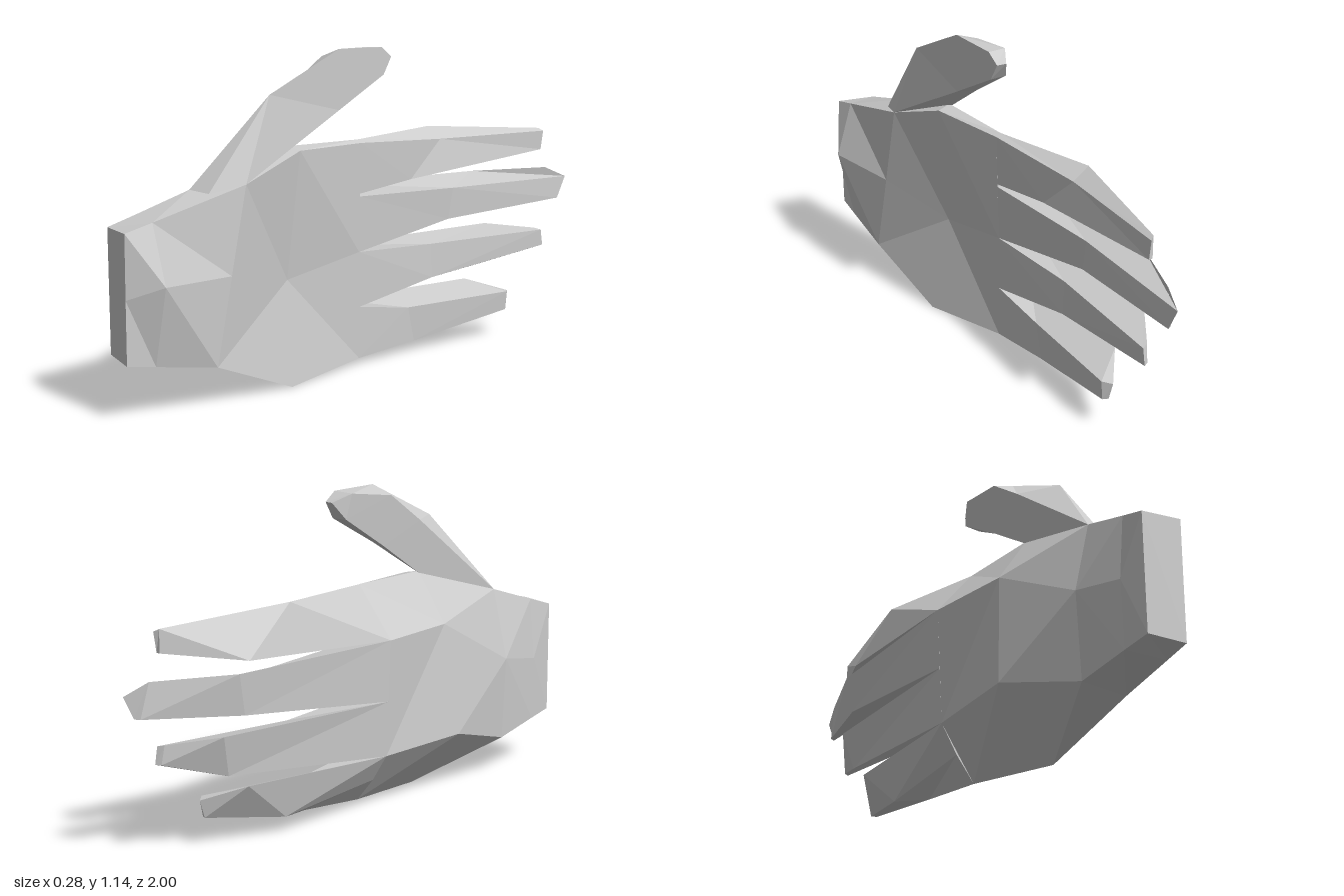
import * as THREE from 'three';

const material = new THREE.MeshStandardMaterial({ color: 0xcccccc, flatShading: true });

// Skins a list of rings (points counter-clockwise seen from the first ring's open end),
// splitting each quad along its shorter diagonal, and caps both ends.
function loft(name, rings) {
  const n = rings[0].length;
  const last = (rings.length - 1) * n;
  const points = rings.flat().map((p) => new THREE.Vector3(...p));
  const index = [];
  for (let r = 0; r < rings.length - 1; r++) {
    for (let j = 0; j < n; j++) {
      const a = r * n + j, b = r * n + (j + 1) % n, c = b + n, d = a + n;
      if (points[a].distanceTo(points[c]) < points[b].distanceTo(points[d])) index.push(a, d, c, a, c, b);
      else index.push(a, d, b, b, d, c);
    }
  }
  for (let j = 1; j < n - 1; j++) {
    index.push(0, j, j + 1, last, last + j + 1, last + j);
  }
  const indexed = new THREE.BufferGeometry().setFromPoints(points);
  indexed.setIndex(index);
  const geometry = indexed.toNonIndexed();
  geometry.computeVertexNormals();
  const mesh = new THREE.Mesh(geometry, material);
  mesh.name = name;
  return mesh;
}

// Wrist to knuckles. Ring order: back top, back middle, back bottom, palm bottom, palm middle, palm top
const palmRings = [
  [[-0.075, 0.62, 0.97], [-0.075, 0.41, 0.97], [-0.075, 0.2, 0.97], [0.06, 0.195, 1], [0.062, 0.41, 1], [0.065, 0.625, 1]],
  [[-0.06, 0.65, 0.87], [-0.082, 0.42, 0.87], [-0.077, 0.18, 0.87], [0.076, 0.178, 0.9], [0.14, 0.45, 0.9], [0.074, 0.648, 0.9]],
  [[-0.03, 0.71, 0.68], [-0.095, 0.45, 0.68], [-0.08, 0.14, 0.68], [0.11, 0.14, 0.68], [0.107, 0.435, 0.615], [0.105, 0.73, 0.55]],
  [[0.025, 0.82, 0.31], [-0.1, 0.64, 0.31], [-0.14, 0.23, 0.35], [0.09, 0, 0.35], [0.03, 0.36, 0.32], [0.08, 0.81, 0.3]],
  [[0.03, 0.81, 0], [-0.12, 0.63, 0], [-0.1, 0.21, 0], [0.04, 0.022, 0], [0.04, 0.41, 0], [0.05, 0.8, 0]],
];

// Ring order: back top, back bottom, palm bottom, palm top
const thumbRings = [
  [[-0.03, 0.71, 0.68], [0.02, 0.81, 0.31], [0.105, 0.73, 0.55], [0.055, 0.7, 0.67]],
  [[0.003, 1.01, 0.29], [0.035, 0.93, 0.13], [0.106, 0.935, 0.15], [0.08, 1.01, 0.43]],
  [[0.015, 1.11, 0.15], [0.045, 1.04, -0.05], [0.11, 1.04, -0.05], [0.105, 1.142, 0.15]],
  [[0.035, 1.13, -0.03], [0.075, 1.1, -0.09], [0.11, 1.1, -0.085], [0.11, 1.135, -0.04]],
];

// Fingers: root, knuckle and tip, with the back knuckle further out than the palm one
const fingers = [
  ['indexFinger', [
    [[0.03, 0.81, 0], [-0.12, 0.63, 0], [0.045, 0.62, 0], [0.05, 0.8, 0]],
    [[-0.03, 0.81, -0.4], [-0.045, 0.645, -0.6], [0.04, 0.64, -0.25], [0.035, 0.77, -0.4]],
    [[0.095, 0.77, -0.86], [0.095, 0.69, -0.86], [0.11, 0.69, -0.86], [0.112, 0.76, -0.87]]]],
  ['middleFinger', [
    [[-0.12, 0.63, 0], [-0.11, 0.41, 0], [0.04, 0.41, 0], [0.045, 0.61, 0]],
    [[-0.05, 0.61, -0.65], [-0.04, 0.465, -0.62], [0.03, 0.465, -0.45], [0.035, 0.58, -0.47]],
    [[0.08, 0.61, -0.92], [0.09, 0.49, -0.95], [0.11, 0.49, -0.96], [0.112, 0.57, -1]]]],
  ['ringFinger', [
    [[-0.11, 0.41, 0], [-0.1, 0.21, 0], [0.04, 0.21, 0], [0.04, 0.41, 0]],
    [[-0.025, 0.405, -0.7], [0, 0.26, -0.66], [0.04, 0.26, -0.36], [0.035, 0.385, -0.36]],
    [[0.095, 0.385, -0.85], [0.1, 0.32, -0.86], [0.12, 0.32, -0.87], [0.12, 0.38, -0.86]]]],
  ['littleFinger', [
    [[-0.1, 0.21, 0], [-0.035, 0.11, 0], [0.04, 0.022, 0], [0.04, 0.21, 0]],
    [[-0.01, 0.21, -0.58], [0, 0.06, -0.4], [0.05, 0.04, -0.26], [0.05, 0.17, -0.23]],
    [[0.1, 0.165, -0.7], [0.1, 0.1, -0.68], [0.12, 0.1, -0.67], [0.125, 0.17, -0.67]]]],
];

export function createModel() {
  const hand = new THREE.Group();
  hand.name = 'hand';
  hand.add(loft('palm', palmRings), loft('thumb', thumbRings));
  for (const [name, rings] of fingers) hand.add(loft(name, rings));
  return hand;
}
